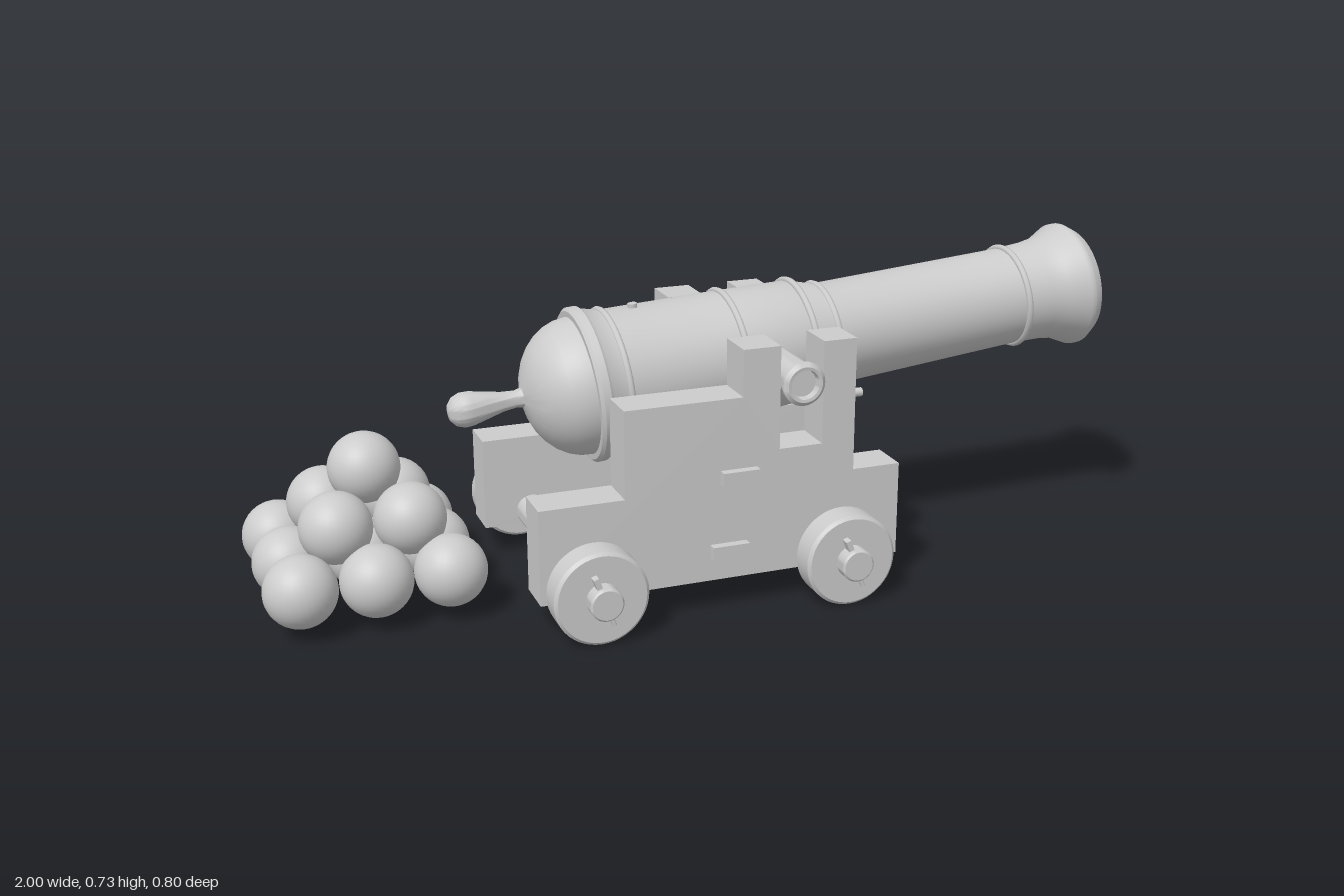
import * as THREE from 'three';
import { toCreasedNormals } from 'three/addons/utils/BufferGeometryUtils.js';

const material = new THREE.MeshStandardMaterial({ color: 0xcccccc });

function add(parent, name, geometry, x = 0, y = 0, z = 0) {
  const mesh = new THREE.Mesh(geometry, material);
  mesh.name = name;
  mesh.position.set(x, y, z);
  parent.add(mesh);
  return mesh;
}

function lathe(points, segments = 48) {
  const profile = points.map(([r, y]) => new THREE.Vector2(r, y));
  return toCreasedNormals(new THREE.LatheGeometry(profile, segments), 0.6);
}

// Barrel: one turned profile from the knob to the muzzle and back down the bore
function createBarrel() {
  const barrel = new THREE.Group();
  barrel.name = 'barrel';
  barrel.position.set(0, 0.49, 0.007);
  barrel.rotation.z = -Math.PI / 2 + 0.0995;

  const breech = [];
  for (let i = 1; i <= 8; i++) {
    const a = (i / 8) * Math.PI / 2;
    breech.push([0.155 * Math.sin(a), -0.275 - 0.13 * Math.cos(a)]);
  }
  add(barrel, 'gunBody', lathe([
    [0, -0.573], [0.018, -0.57], [0.032, -0.558], [0.039, -0.54], [0.038, -0.52],
    [0.03, -0.485], [0.022, -0.45], [0.019, -0.42], [0.022, -0.405],
    ...breech,
    [0.168, -0.275], [0.175, -0.268], [0.175, -0.25], [0.168, -0.242], [0.157, -0.2],
    [0.148, 0.07], [0.14, 0.25], [0.12, 0.315],
    [0.115, 0.8], [0.118, 0.87], [0.124, 0.91], [0.147, 0.955], [0.147, 0.967],
    [0.13, 0.992], [0.09, 0.992], [0.09, -0.17], [0, -0.17],
  ], 64));

  // Raised bands
  for (const [s, r] of [[-0.2, 0.157], [0.08, 0.148], [0.25, 0.141], [0.315, 0.12], [0.805, 0.116]]) {
    add(barrel, 'band', new THREE.TorusGeometry(r, 0.008, 8, 64), 0, s, 0).rotation.x = Math.PI / 2;
  }
  // Touch hole boss on top
  add(barrel, 'touchHole', new THREE.CylinderGeometry(0.011, 0.011, 0.02, 16), -0.153, -0.13, 0)
    .rotation.z = Math.PI / 2;
  return barrel;
}

// Stepped side cheek with the trunnion slot
function cheekGeometry() {
  const shape = new THREE.Shape([
    [-0.45, 0.075], [0.385, 0.075], [0.385, 0.29], [0.272, 0.29], [0.272, 0.592],
    [0.195, 0.592], [0.195, 0.36], [0.094, 0.36], [0.094, 0.592], [0.008, 0.592],
    [0.008, 0.487], [-0.26, 0.487], [-0.26, 0.29], [-0.45, 0.29],
  ].map(([x, y]) => new THREE.Vector2(x, y)));
  return new THREE.ExtrudeGeometry(shape, { depth: 0.095, bevelEnabled: false }).translate(0, 0, -0.0475);
}

function createCarriage() {
  const carriage = new THREE.Group();
  carriage.name = 'carriage';
  carriage.position.z = 0.004;

  const cheek = cheekGeometry();
  const wheel = lathe([
    [0, -0.035], [0.098, -0.035], [0.105, -0.028], [0.105, 0.028], [0.098, 0.035], [0, 0.035],
  ]);
  const axle = lathe([
    [0, -0.398], [0.033, -0.398], [0.037, -0.394], [0.037, 0.394], [0.033, 0.398], [0, 0.398],
  ], 32);
  const axleXs = [-0.337, 0.238];

  for (const side of [1, -1]) {
    add(carriage, 'cheek', cheek, 0, 0, side * 0.2335);
    // Peg on the forward face of the cheek
    add(carriage, 'peg', new THREE.CylinderGeometry(0.01, 0.01, 0.05, 16), 0.285, 0.451, side * 0.232)
      .rotation.z = Math.PI / 2;
    for (const x of axleXs) {
      add(carriage, 'wheel', wheel, x, 0.106, side * 0.324).rotation.x = Math.PI / 2;
      // Linchpin through the axle end
      const pin = new THREE.Group();
      pin.name = 'linchpin';
      pin.position.set(x, 0.107, side * 0.373);
      pin.rotation.z = 0.35;
      add(pin, 'pinShaft', new THREE.CylinderGeometry(0.005, 0.005, 0.11, 10), 0, -0.005, 0);
      add(pin, 'pinHead', new THREE.BoxGeometry(0.012, 0.03, 0.02), 0, 0.046, 0);
      carriage.add(pin);
    }
  }
  for (const x of axleXs) add(carriage, 'axle', axle, x, 0.107, -0.004).rotation.x = Math.PI / 2;

  // Crosspieces passing through both cheeks
  add(carriage, 'upperCrosspiece', new THREE.BoxGeometry(0.085, 0.03, 0.602), -0.001, 0.312, 0);
  add(carriage, 'lowerCrosspiece', new THREE.BoxGeometry(0.085, 0.03, 0.602), -0.024, 0.144, 0);

  // Trunnion with flanged, dished ends
  add(carriage, 'trunnion', lathe([
    [0, -0.28], [0.031, -0.28], [0.033, -0.297], [0.04, -0.298], [0.049, -0.29], [0.049, -0.282],
    [0.041, -0.276], [0.041, 0.276], [0.049, 0.282], [0.049, 0.29], [0.04, 0.298],
    [0.033, 0.297], [0.031, 0.28], [0, 0.28],
  ], 32), 0.145, 0.504, 0.001).rotation.x = Math.PI / 2;
  return carriage;
}

// Pyramid of shot: layers of 3x3, 2x2 and 1
function createShotPile() {
  const pile = new THREE.Group();
  pile.name = 'shotPile';
  const ball = new THREE.SphereGeometry(0.08, 32, 20);
  const layers = [[3, -0.759, 0.106, -0.072], [2, -0.746, 0.207, -0.068], [1, -0.742, 0.3, -0.086]];
  for (const [n, cx, y, cz] of layers) {
    for (let i = 0; i < n; i++) {
      for (let j = 0; j < n; j++) {
        add(pile, 'cannonball', ball, cx + (i - (n - 1) / 2) * 0.162, y, cz + (j - (n - 1) / 2) * 0.168);
      }
    }
  }
  return pile;
}

export function createModel() {
  const model = new THREE.Group();
  model.name = 'cannon';
  model.add(createBarrel(), createCarriage(), createShotPile());
  return model;
}
